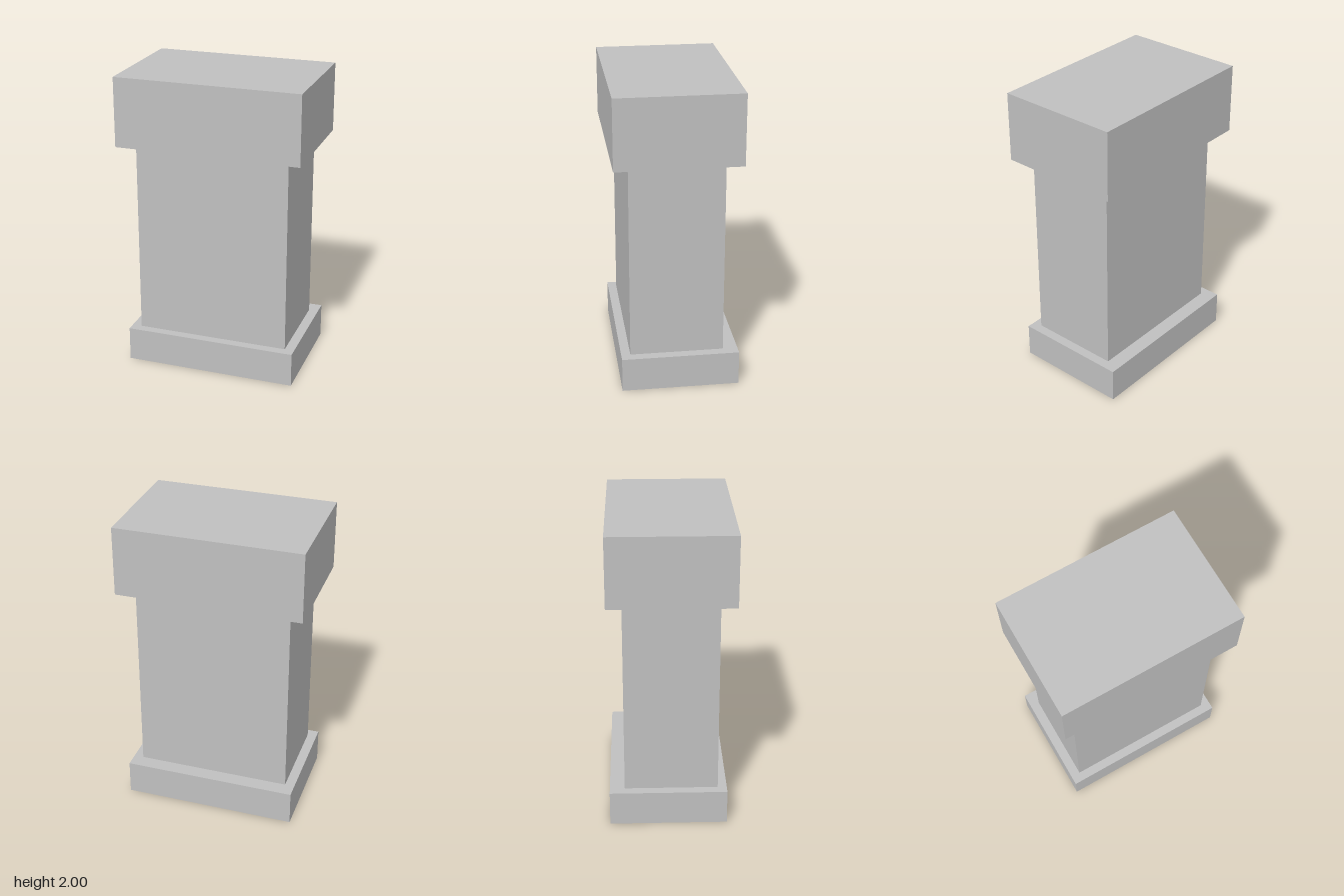
import * as THREE from 'three';

const stone = new THREE.MeshStandardMaterial({ color: 0xc0c0c0 });
stone.name = 'light grey stone';

// Box given by its width, its bottom and top, and its back and front
function block(name, width, bottom, top, back, front) {
  const geometry = new THREE.BoxGeometry(width, top - bottom, front - back);
  const mesh = new THREE.Mesh(geometry, stone);
  mesh.name = name;
  mesh.position.set(0, (bottom + top) / 2, (back + front) / 2);
  return mesh;
}

export function createModel() {
  const pillar = new THREE.Group();
  pillar.name = 'pillar';
  pillar.add(
    // plinth reaches further out at the back than at the front
    block('plinth', 1.15, 0, 0.23, -0.404, 0.366),
    block('shaft', 1.022, 0.23, 1.54, -0.306, 0.306),
    block('cap', 1.224, 1.54, 2, -0.404, 0.404),
  );
  return pillar;
}
